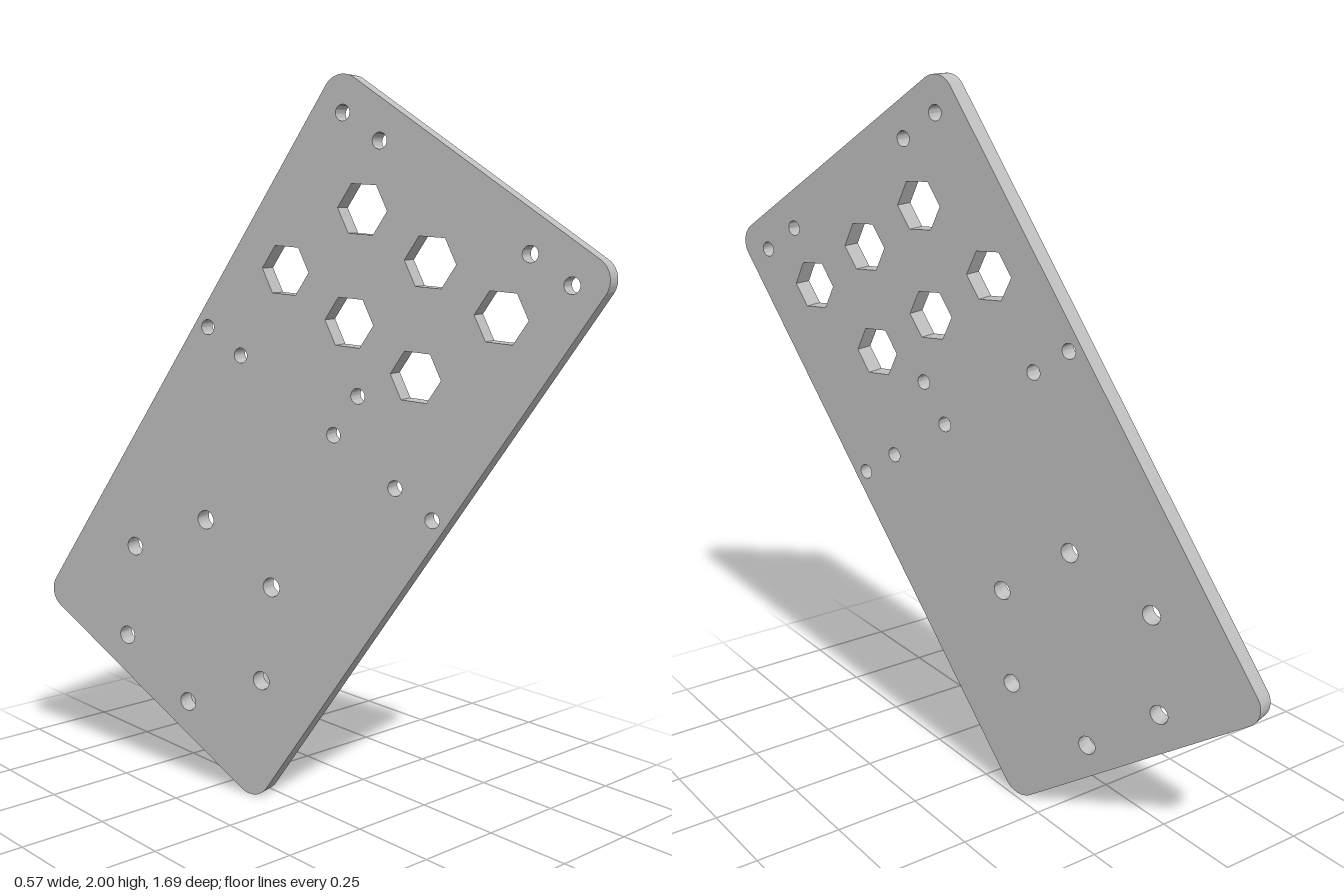
import * as THREE from 'three';
import { toCreasedNormals } from 'three/addons/utils/BufferGeometryUtils.js';

const HALF_W = 0.4635, HALF_L = 0.921, CORNER = 0.06, THICK = 0.053;

function roundedRect(w, h, r) {
  const s = new THREE.Shape();
  s.absarc(w - r, h - r, r, 0, Math.PI / 2);
  s.absarc(-w + r, h - r, r, Math.PI / 2, Math.PI);
  s.absarc(-w + r, -h + r, r, Math.PI, Math.PI * 1.5);
  s.absarc(w - r, -h + r, r, Math.PI * 1.5, Math.PI * 2);
  s.closePath();
  return s;
}

// Regular polygon hole with a vertex on the plate's long axis
function polygonHole(x, y, r, sides) {
  const pts = [];
  for (let i = 0; i < sides; i++) {
    const a = Math.PI / 2 - (i / sides) * Math.PI * 2;
    pts.push(new THREE.Vector2(x + r * Math.cos(a), y + r * Math.sin(a)));
  }
  return new THREE.Path(pts);
}

export function createModel() {
  const group = new THREE.Group();
  const steel = new THREE.MeshStandardMaterial({ color: 0xc0c0c0 });
  steel.name = 'plain grey';

  const outline = roundedRect(HALF_W, HALF_L, CORNER);
  const drill = (x, y, r, sides = 24) => outline.holes.push(polygonHole(x, y, r, sides));

  // Two staggered rows of hexagonal openings
  for (let i = -1; i <= 1; i++) {
    drill(-0.041 + i * 0.237, 0.661, 0.073, 6);
    drill(0.064 + i * 0.237, 0.398, 0.073, 6);
  }

  // Mirrored pairs of small screw holes
  for (const side of [-1, 1]) {
    drill(side * 0.251, 0.831, 0.021);
    drill(side * 0.382, 0.831, 0.021);
    drill(side * 0.291, 0.122, 0.021);
    drill(side * 0.423, 0.122, 0.021);
  }
  drill(-0.066, 0.254, 0.021);
  drill(-0.066, 0.123, 0.021);

  // Ring of six larger holes
  for (let i = 0; i < 6; i++) {
    const a = THREE.MathUtils.degToRad(3.3 + i * 60);
    drill(0.004 + 0.278 * Math.cos(a), -0.589 + 0.278 * Math.sin(a), 0.027);
  }

  const geo = new THREE.ExtrudeGeometry(outline, { depth: THICK, bevelEnabled: false, curveSegments: 10 });
  geo.translate(0, 0, -THICK / 2);

  // Plate tilted in its own plane, then turned about the vertical
  const plate = new THREE.Mesh(toCreasedNormals(geo, 0.6), steel);
  plate.name = 'perforatedPlate';
  plate.rotation.set(0, THREE.MathUtils.degToRad(107.2), THREE.MathUtils.degToRad(33.9));
  plate.position.y = 1;
  group.add(plate);
  return group;
}
